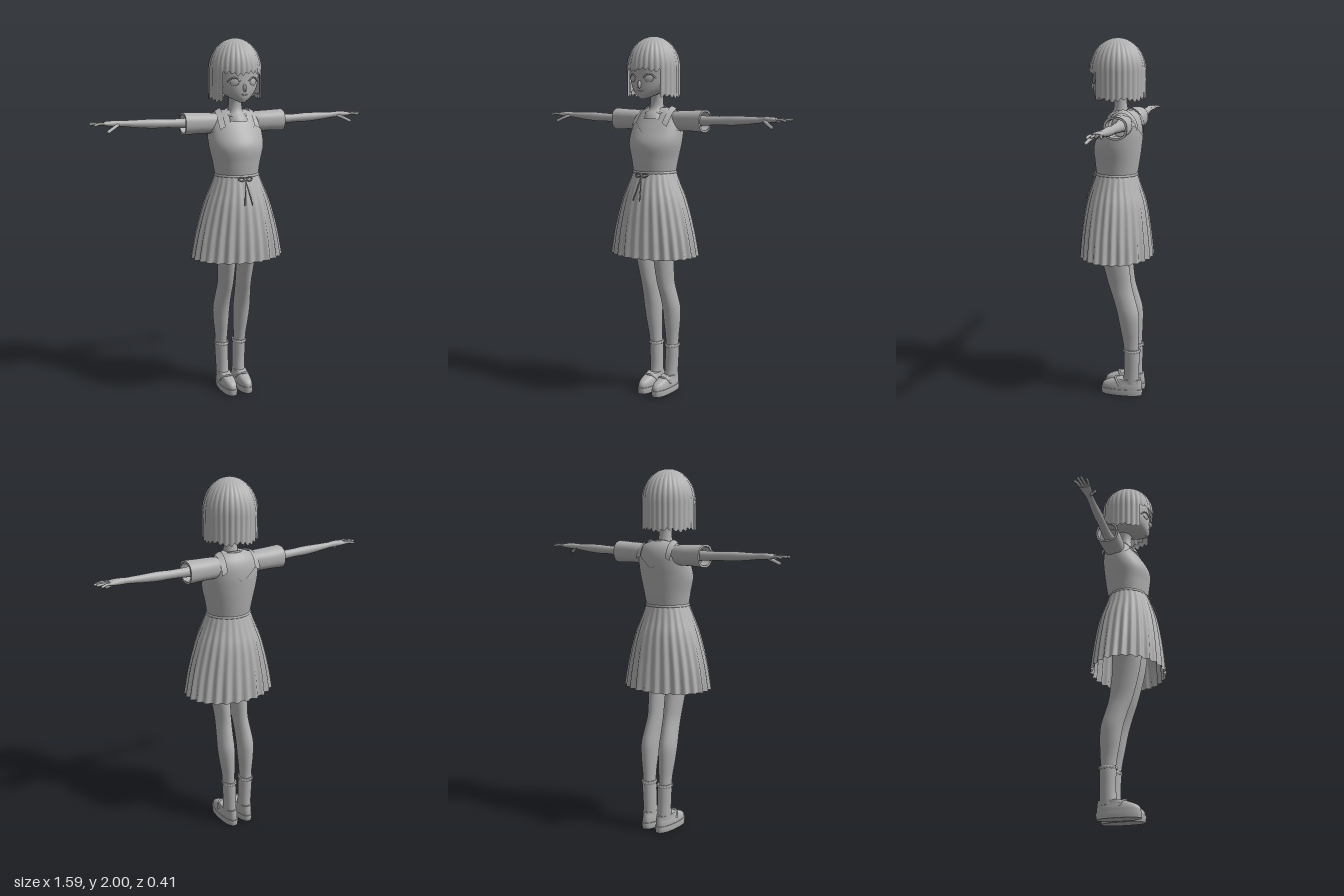
import * as THREE from 'three';

const grey = new THREE.MeshStandardMaterial({ color: 0xb0b0b0, side: THREE.DoubleSide });
grey.name = 'plain grey';
const V = (x, y, z) => new THREE.Vector3(x, y, z);

function add(parent, name, geometry) {
  const mesh = new THREE.Mesh(geometry, grey);
  mesh.name = name;
  parent.add(mesh);
  return mesh;
}

// Surface from fn(u, v) -> [x, y, z]; closed joins the last column to the first
function grid(cols, rows, closed, fn, caps = false) {
  const pos = [], index = [], n = closed ? cols : cols + 1;
  for (let j = 0; j <= rows; j++)
    for (let i = 0; i < n; i++) pos.push(...fn(i / cols, j / rows));
  for (let j = 0; j < rows; j++)
    for (let i = 0; i < cols; i++) {
      const a = j * n + i, b = j * n + (i + 1) % n;
      index.push(a, b, b + n, a, b + n, a + n);
    }
  if (caps) for (const j of [0, rows]) {
    const base = pos.length / 3, c = [0, 0, 0];
    for (let i = 0; i < n; i++) {
      const p = pos.slice((j * n + i) * 3, (j * n + i) * 3 + 3);
      p.forEach((q, k) => { c[k] += q / n; });
      pos.push(...p);
    }
    pos.push(...c);
    for (let i = 0; i < n; i++) {
      const a = base + i, b = base + (i + 1) % n;
      j ? index.push(a, b, base + n) : index.push(b, a, base + n);
    }
  }
  const g = new THREE.BufferGeometry();
  g.setAttribute('position', new THREE.Float32BufferAttribute(pos, 3));
  g.setIndex(index);
  g.computeVertexNormals();
  return g;
}

// Smooth sampler for sections [y, centre x, half width, front z, back z]
function sampler(sections) {
  const it = new THREE.CubicInterpolant(sections.map(s => s[0]), sections.flatMap(s => s.slice(1)), 4, new Float32Array(4));
  return (y, angle, grow = 0, power = 2) => {
    const [cx, rx, zf, zb] = it.evaluate(y);
    const e = t => Math.sign(t) * Math.abs(t) ** (2 / power);
    return [cx + e(Math.sin(angle)) * (rx + grow), y, (zf + zb) / 2 + e(Math.cos(angle)) * ((zf - zb) / 2 + grow)];
  };
}

function loft(sections, { cols = 32, rows = 24, power = 2, caps = true, wave = () => 0 } = {}) {
  const at = sampler(sections), y0 = sections[0][0], y1 = sections[sections.length - 1][0];
  return grid(cols, rows, true, (u, v) => {
    const a = u * Math.PI * 2;
    return at(y0 + (y1 - y0) * v, a, wave(a, v), power);
  }, caps);
}

const tube = (points, r, seg = 16) => new THREE.TubeGeometry(new THREE.CatmullRomCurve3(points.map(p => V(...p))), seg, r, 8);

const torso = [
  [1.265, 0, 0.113, 0.108, -0.103], [1.34, 0, 0.126, 0.116, -0.116], [1.43, 0, 0.146, 0.12, -0.128],
  [1.5, 0, 0.147, 0.085, -0.134], [1.56, 0, 0.138, 0.045, -0.128], [1.6, 0, 0.112, 0.018, -0.108], [1.62, 0, 0.062, 0.005, -0.085]];

function buildHead(model) {
  const head = new THREE.Group();
  head.name = 'head';
  head.position.x = -0.008;
  model.add(head);
  add(head, 'face', loft([
    [1.668, 0, 0.012, 0.118, 0.085], [1.685, 0, 0.045, 0.127, 0.02], [1.71, 0, 0.08, 0.131, -0.045], [1.74, 0, 0.105, 0.132, -0.09],
    [1.79, 0, 0.123, 0.13, -0.12], [1.86, 0, 0.125, 0.125, -0.125], [1.93, 0, 0.095, 0.09, -0.095], [1.97, 0, 0.04, 0.04, -0.04]], { cols: 40, rows: 32 }));
  const nose = add(head, 'nose', new THREE.SphereGeometry(1, 12, 8));
  nose.scale.set(0.009, 0.022, 0.016);
  nose.position.set(0, 1.745, 0.132);
  nose.rotation.x = -0.3;
  add(head, 'mouth', tube([[-0.018, 1.712, 0.127], [0, 1.709, 0.132], [0.018, 1.712, 0.127]], 0.003));
  for (const s of [-1, 1]) {
    const eye = add(head, 'eye', new THREE.SphereGeometry(1, 16, 10));
    eye.scale.set(0.024, 0.019, 0.005);
    eye.position.set(s * 0.053, 1.775, 0.121);
    eye.rotation.y = s * 0.42;
    add(head, 'eyelid', tube([[s * 0.024, 1.78, 0.132], [s * 0.045, 1.797, 0.127], [s * 0.067, 1.795, 0.115], [s * 0.084, 1.777, 0.1]], 0.004));
  }

  // Bobbed hair: a grooved dome cut short over the face
  const hair = (name, from, to, bottom, grow, cols) => add(head, name, grid(cols, 28, false, (u, v) => {
    const a = from + (to - from) * u, ridge = Math.abs(Math.sin(a * 15));
    const low = bottom + 0.014 * (1 - ridge) + 0.006 * Math.sin(a * 7);
    const split = (1.83 - low) / (2 - low);
    let y = low + (2 - low) * v, r = 1;
    if (v > split || split < 0) {
      const t = split < 0 ? v : (v - split) / (1 - split), start = split < 0 ? Math.asin((low - 1.83) / 0.17) : 0;
      const lat = start + (Math.PI / 2 - start) * t;
      y = 1.83 + 0.17 * Math.sin(lat);
      r = Math.cos(lat);
    }
    const k = r * (grow + 0.035 * ridge);
    return [Math.sin(a) * 0.144 * k, y, Math.cos(a) * 0.153 * k];
  }));
  hair('fringe', -0.92, 0.92, 1.815, 0.975, 70);
  hair('bobbedHair', 0.86, Math.PI * 2 - 0.86, 1.675, 0.965, 180);
  hair('innerHair', 1.1, Math.PI * 2 - 1.1, 1.7, 0.89, 160);

  add(model, 'neck', loft([
    [1.56, 0, 0.062, 0.066, -0.06], [1.585, 0, 0.056, 0.052, -0.066], [1.61, 0, 0.042, 0.028, -0.06],
    [1.65, 0, 0.036, 0.018, -0.053], [1.72, 0, 0.038, 0.03, -0.05]]));
  const collar = add(model, 'shirtNeckline', new THREE.TorusGeometry(0.058, 0.007, 8, 32));
  collar.rotation.x = Math.PI / 2 + 0.3;
  collar.position.set(0, 1.603, -0.018);
}

function buildDress(model) {
  const at = sampler(torso);
  add(model, 'shirt', loft(torso, { cols: 48 }));

  // Bodice with a pointed neckline front and back
  add(model, 'dressBodice', grid(96, 24, true, (u, v) => {
    const a = u * Math.PI * 2, s = Math.abs(Math.sin(a));
    const top = s < 0.7 ? 1.478 + 0.1 * s : 1.548 - 0.17 * (s - 0.7);
    return at(1.268 + (top - 1.268) * v, a, 0.006);
  }));
  for (const s of [-1, 1]) {
    const path = new THREE.CatmullRomCurve3([V(0.1, 1.53, 0.058), V(0.1, 1.568, 0.028), V(0.097, 1.604, -0.01), V(0.094, 1.62, -0.047),
      V(0.097, 1.604, -0.087), V(0.1, 1.568, -0.117), V(0.1, 1.53, -0.13)]);
    add(model, 'shoulderStrap', grid(2, 24, false, (u, v) => {
      const p = path.getPoint(v);
      return [s * (p.x + (u - 0.5) * 0.032), p.y - (u - 0.5) * 0.016, p.z];
    }));
  }

  // Pleated skirt, folds deepening toward the hem
  add(model, 'pleatedSkirt', loft([
    [0.812, 0, 0.254, 0.2, -0.195], [0.95, 0, 0.229, 0.19, -0.182], [1.12, 0, 0.182, 0.165, -0.157],
    [1.2, 0, 0.15, 0.142, -0.132], [1.278, 0, 0.12, 0.114, -0.109]],
    { cols: 208, caps: false, wave: (a, v) => 0.0085 * (1 - 0.9 * v) * Math.cos(a * 26) }));
  add(model, 'waistband', loft([[1.265, 0, 0.123, 0.117, -0.112], [1.272, 0, 0.126, 0.12, -0.115], [1.28, 0, 0.121, 0.115, -0.11]], { cols: 48, rows: 4, caps: false }));

  // Waist bow
  const knot = add(model, 'bowKnot', new THREE.SphereGeometry(0.008, 10, 8));
  knot.position.set(0, 1.258, 0.127);
  for (const s of [-1, 1]) {
    add(model, 'bowLoop', tube([[0, 1.258, 0.127], [s * 0.022, 1.27, 0.13], [s * 0.04, 1.262, 0.126], [s * 0.024, 1.25, 0.133], [0, 1.256, 0.128]], 0.004, 24));
    add(model, 'bowTail', tube([[0, 1.255, 0.128], [s * 0.01, 1.2, 0.15], [s * 0.022, 1.125, 0.177]], 0.003));
  }
}

// Arms run along +x: local y becomes x, local x becomes -y
function buildArm(side) {
  const along = (name, sections, options) => add(side, name, loft(sections, options).rotateZ(-Math.PI / 2));
  along('sleeve', [[0.09, -1.55, 0.05, 0.002, -0.1], [0.14, -1.55, 0.055, 0.008, -0.108], [0.2, -1.551, 0.056, 0.01, -0.112], [0.29, -1.551, 0.06, 0.012, -0.114]], { caps: false, power: 2.4 });
  along('sleeveLining', [[0.24, -1.551, 0.046, -0.004, -0.1], [0.289, -1.551, 0.049, 0, -0.103]], { caps: false, power: 2.4, rows: 2 });
  add(side, 'sleeveCuff', grid(32, 1, true, (u, v) => {
    const a = u * Math.PI * 2, p = sampler([[0, 0, 0.049, 0, -0.103], [1, 0, 0.06, 0.012, -0.114]])(v, a, 0, 2.4);
    return [0.29, 1.551 - p[0], p[2]];
  }));
  along('arm', [[0.12, -1.55, 0.036, -0.014, -0.088], [0.27, -1.553, 0.027, -0.03, -0.082], [0.38, -1.556, 0.023, -0.034, -0.079],
    [0.45, -1.558, 0.025, -0.033, -0.081], [0.54, -1.561, 0.021, -0.037, -0.078], [0.63, -1.566, 0.015, -0.04, -0.075]], { cols: 20 });
  along('palm', [[0.615, -1.565, 0.015, -0.04, -0.075], [0.65, -1.567, 0.016, -0.036, -0.078], [0.69, -1.568, 0.014, -0.029, -0.085], [0.72, -1.568, 0.01, -0.028, -0.087]], { cols: 20, rows: 10, power: 2.4 });
  const fingers = [
    [0.777, -0.028, -0.035, 1.565], [0.795, -0.054, -0.05, 1.57],
    [0.79, -0.073, -0.065, 1.571], [0.774, -0.095, -0.08, 1.567]];
  for (const [x, z, root, y] of fingers) {
    add(side, 'finger', tube([[0.705, 1.568, root], [0.745, 1.571, (root + z) / 2], [x - 0.005, y, z]], 0.0068, 10));
    add(side, 'fingertip', new THREE.SphereGeometry(0.0068, 8, 6).translate(x - 0.005, y, z));
  }
  add(side, 'thumb', tube([[0.645, 1.562, -0.045], [0.675, 1.548, -0.022], [0.708, 1.531, -0.005]], 0.009, 10));
  add(side, 'thumbTip', new THREE.SphereGeometry(0.009, 8, 6).translate(0.708, 1.531, -0.005));
}

function buildLeg(side) {
  add(side, 'leg', loft([
    [0.24, 0.056, 0.033, -0.055, -0.132], [0.32, 0.058, 0.035, -0.045, -0.134], [0.4, 0.061, 0.042, -0.03, -0.137], [0.49, 0.063, 0.046, -0.013, -0.134],
    [0.56, 0.06, 0.043, 0.007, -0.116], [0.64, 0.055, 0.041, 0.035, -0.094], [0.72, 0.056, 0.044, 0.057, -0.083],
    [0.82, 0.059, 0.049, 0.08, -0.073], [0.95, 0.063, 0.06, 0.095, -0.08], [1.05, 0.06, 0.06, 0.09, -0.09]], { rows: 40 }));
  add(side, 'sock', loft([[0.07, 0.05, 0.036, -0.042, -0.138], [0.13, 0.051, 0.036, -0.05, -0.137], [0.26, 0.055, 0.038, -0.05, -0.139], [0.268, 0.055, 0.038, -0.05, -0.139]]));
  add(side, 'frilledSockTop', loft([[0.258, 0.055, 0.039, -0.048, -0.141], [0.268, 0.055, 0.042, -0.045, -0.144], [0.276, 0.055, 0.039, -0.049, -0.141]],
    { cols: 72, rows: 6, wave: a => 0.002 * Math.cos(a * 18) }));
  add(side, 'shoeSole', loft([[0, 0.048, 0.041, 0.081, -0.153], [0.02, 0.048, 0.043, 0.084, -0.156], [0.036, 0.048, 0.043, 0.084, -0.156]], { power: 2.4, rows: 6 }));
  add(side, 'shoeUpper', loft([[0.034, 0.048, 0.04, 0.08, -0.152], [0.055, 0.048, 0.04, 0.076, -0.152], [0.07, 0.048, 0.038, 0.062, -0.151],
    [0.084, 0.049, 0.036, 0.03, -0.149], [0.096, 0.05, 0.036, -0.01, -0.147]], { power: 2.3 }));
  add(side, 'shoeStrap', tube([[0.012, 0.06, -0.03], [0.022, 0.088, -0.01], [0.048, 0.096, 0.002], [0.076, 0.088, -0.01], [0.088, 0.06, -0.03]], 0.006));
}

export function createModel() {
  const model = new THREE.Group();
  model.name = 'girlInPleatedDress';
  buildHead(model);
  buildDress(model);
  for (const [name, s] of [['leftLimbs', 1], ['rightLimbs', -1]]) {
    const side = new THREE.Group();
    side.name = name;
    side.scale.x = s;
    buildArm(side);
    buildLeg(side);
    model.add(side);
  }
  return model;
}
